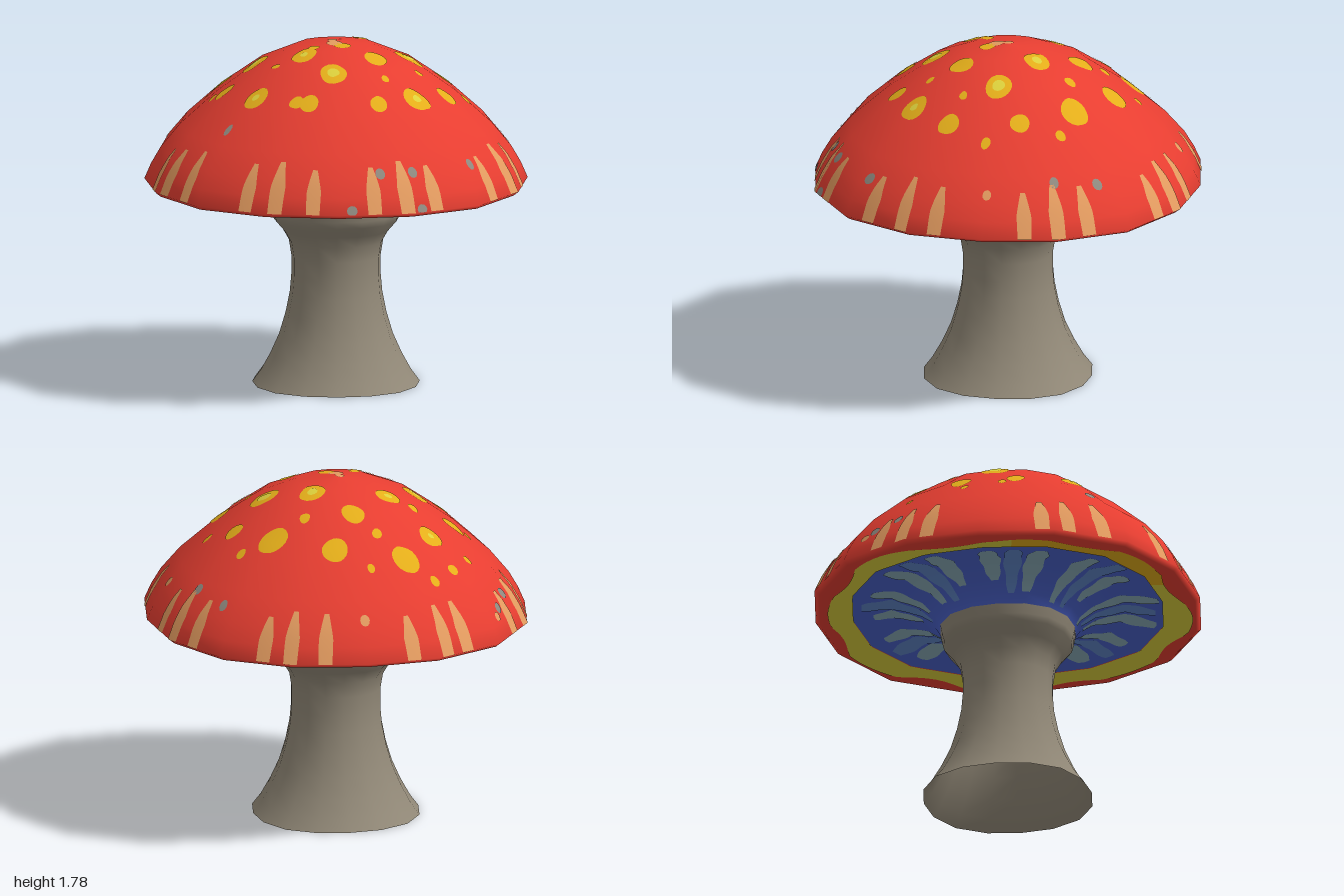
import * as THREE from 'three';
import { mergeGeometries } from 'three/addons/utils/BufferGeometryUtils.js';

const SIDES = 16;
const STEP = (Math.PI * 2) / SIDES;
const DEG = Math.PI / 180;
const NARROW = 0.985; // width against depth

// Profiles as [radius, height]
const STEM = [[0.435, 0], [0.39, 0.06], [0.34, 0.15], [0.295, 0.25], [0.262, 0.36], [0.24, 0.47], [0.232, 0.56],
  [0.232, 0.66], [0.245, 0.74], [0.28, 0.8], [0.328, 0.855], [0.338, 0.89], [0.348, 0.94]];
const GILLS = [[0.348, 0.94], [0.375, 0.985], [0.45, 1.04], [0.6, 1.085], [0.8, 1.055]];
const LIP = [[0.8, 1.055], [0.92, 1.033], [0.97, 1.04]];
const DOME = [[0.995, 1.06], [0.96, 1.14], [0.91, 1.225], [0.81, 1.345], [0.62, 1.515], [0.4, 1.67], [0.2, 1.755], [0, 1.778]];
const UNDER = [...GILLS, ...LIP.slice(1)];

function material(name, color, side = THREE.FrontSide) {
  const m = new THREE.MeshStandardMaterial({ color, side });
  m.name = name;
  return m;
}

// Piecewise linear lookup of column b from column a
function lookup(profile, value, a, b) {
  const pts = [...profile].sort((p, q) => p[a] - q[a]);
  let i = 0;
  while (i < pts.length - 2 && value > pts[i + 1][a]) i++;
  const t = THREE.MathUtils.clamp((value - pts[i][a]) / (pts[i + 1][a] - pts[i][a]), 0, 1);
  return pts[i][b] + t * (pts[i + 1][b] - pts[i][b]);
}

// The plan is a slightly squared circle, widest on the diagonals
const squared = angle => 1 + 0.046 * Math.sin(2 * angle) ** 2;

// Radius of the flat-sided plan at any angle
function reach(angle) {
  const i = Math.floor(angle / STEP), t = angle - i * STEP;
  const lo = squared(i * STEP), hi = squared((i + 1) * STEP);
  return (lo * hi * Math.sin(STEP)) / (lo * Math.sin(t) + hi * Math.sin(STEP - t));
}

// Turned part with the squared plan
function turned(points) {
  const g = new THREE.LatheGeometry(points.map(p => new THREE.Vector2(...p)), SIDES);
  const p = g.attributes.position;
  for (let i = 0; i < p.count; i++) {
    const s = squared(Math.atan2(p.getX(i), p.getZ(i)));
    p.setX(i, p.getX(i) * s * NARROW);
    p.setZ(i, p.getZ(i) * s);
  }
  return g;
}

// Thin painted patch hugging a profile; fn(u, v) returns [angle, radius]
function patch(profile, up, nu, nv, fn, lift = 0.0035) {
  const pos = [], nor = [], index = [];
  for (let j = 0; j <= nv; j++) {
    for (let i = 0; i <= nu; i++) {
      const [a, r] = fn(i / nu, j / nv);
      const lo = Math.max(profile === DOME ? 0 : 0.348, r - 0.06), hi = Math.min(0.995, r + 0.06);
      const slope = (lookup(profile, hi, 0, 1) - lookup(profile, lo, 0, 1)) / (hi - lo);
      const n = new THREE.Vector3(-slope * Math.sin(a), 1, -slope * Math.cos(a)).normalize().multiplyScalar(up);
      const d = r * reach(a);
      const p = new THREE.Vector3(d * Math.sin(a) * NARROW, lookup(profile, r, 0, 1), d * Math.cos(a));
      pos.push(p.addScaledVector(n, lift));
      nor.push(n);
    }
  }
  // Turn every triangle to face along its normal
  const tri = (a, b, c) => {
    const f = pos[b].clone().sub(pos[a]).cross(pos[c].clone().sub(pos[a]));
    if (f.dot(nor[a]) < 0) index.push(a, c, b);
    else index.push(a, b, c);
  };
  const w = nu + 1;
  for (let j = 0; j < nv; j++) {
    for (let i = 0; i < nu; i++) {
      const k = j * w + i;
      tri(k, k + 1, k + w + 1);
      tri(k, k + w + 1, k + w);
    }
  }
  const g = new THREE.BufferGeometry();
  g.setAttribute('position', new THREE.Float32BufferAttribute(pos.flatMap(p => p.toArray()), 3));
  g.setAttribute('normal', new THREE.Float32BufferAttribute(nor.flatMap(n => n.toArray()), 3));
  g.setIndex(index);
  return g;
}

// Slightly uneven round spot placed by x and z on the dome
function spot(x, z, size, lift) {
  return patch(DOME, 1, 20, 4, (u, v) => {
    const t = u * Math.PI * 2;
    const s = size * v * (1 + 0.05 * Math.sin(2 * t + x * 20) + 0.03 * Math.sin(3 * t + z * 20));
    const px = (x + s * Math.cos(t)) / NARROW, pz = z + s * Math.sin(t);
    const a = Math.atan2(px, pz);
    return [a, Math.hypot(px, pz) / reach(a)];
  }, lift);
}

// Small dot placed by angle and height on the dome
function dot(angle, y, size) {
  return patch(DOME, 1, 12, 2, (u, v) => {
    const t = u * Math.PI * 2;
    return [angle * DEG + 1.15 * size * v * Math.cos(t), lookup(DOME, y + size * v * Math.sin(t), 1, 0)];
  });
}

// Tapering stripe rising from the rim
function stripe(angle, top, width) {
  return patch(DOME, 1, 6, 16, (u, v) => {
    const half = 0.5 * width * (v < 0.5 ? 0.9 + 0.2 * v : 1 - 0.65 * ((v - 0.5) / 0.5) ** 1.3);
    return [angle * DEG + (u - 0.5) * 2 * half, lookup(DOME, 1.06 + (top - 1.06) * v, 1, 0)];
  });
}

const SPOTS = [
  [-0.26, -0.6, 0.067], [-0.4, -0.66, 0.025], [-0.07, -0.66, 0.02], [0.1, -0.56, 0.064], [-0.51, -0.56, 0.025],
  [-0.42, -0.41, 0.061], [-0.61, -0.41, 0.02], [-0.13, -0.48, 0.026], [-0.025, -0.37, 0.06], [0.395, -0.4, 0.073],
  [0.22, -0.35, 0.028], [0.55, -0.35, 0.025], [-0.235, -0.2, 0.06], [-0.36, -0.23, 0.026], [0.15, -0.17, 0.067],
  [-0.58, -0.15, 0.053], [0.55, -0.14, 0.048], [-0.66, -0.12, 0.02], [-0.41, 0, 0.068], [0.37, -0.005, 0.07],
  [0.66, 0.02, 0.025], [0.03, 0.1, 0.043], [-0.57, 0.13, 0.048], [-0.63, 0.07, 0.021], [-0.165, 0.19, 0.064],
  [-0.115, 0.12, 0.03], [0.2, 0.21, 0.06], [0.42, 0.17, 0.021], [0.56, 0.225, 0.052], [-0.31, 0.215, 0.022],
  [-0.02, 0.375, 0.069], [0.245, 0.365, 0.02], [-0.415, 0.405, 0.063], [0.405, 0.425, 0.067], [-0.145, 0.545, 0.048],
  [0.21, 0.54, 0.045], [-0.21, 0.53, 0.036],
];
const CENTRES = [[-0.41, 0, 0.032], [0.37, -0.005, 0.034], [-0.02, 0.375, 0.032], [0.405, 0.425, 0.021],
  [-0.415, 0.405, 0.02], [0.15, -0.17, 0.026], [-0.235, -0.2, 0.02], [-0.42, -0.41, 0.016], [-0.165, 0.19, 0.019]];
const DOTS = [[14, 1.25], [25, 1.25], [4, 1.08], [25.5, 1.075], [48, 1.25], [114, 1.31], [129, 1.28], [-48, 1.41],
  [-119, 1.24], [-127, 1.2]];
// Rim stripes by angle: front, left, back, right
const STRIPES = [-29, -19.5, -8, 11, 21, 30.5, 53, 65, 75.5, 103, 113, 122.5,
  148, 156.5, 167, 194.5, 205.5, 213, 237, 246, 254, 289, 297, 308];

export function createModel() {
  const group = new THREE.Group();
  group.name = 'mushroom';
  const red = material('capRed', 0xe83e31);
  const yellow = material('spotYellow', 0xe4ae1a);
  const lime = material('paleYellow', 0xdcd03c);
  const tan = material('stripeTan', 0xe49c60);
  const grey = material('dotGrey', 0x8f8a80);
  const stone = material('stemGrey', 0x918877, THREE.DoubleSide);
  const blue = material('gillBlue', 0x4a62cc, THREE.DoubleSide);
  const teal = material('gillTeal', 0x8aacb8);
  const slate = material('gillSlate', 0x5f86c8);

  const add = (name, geometry, mat) => {
    const mesh = new THREE.Mesh(geometry, mat);
    mesh.name = name;
    group.add(mesh);
  };

  add('stem', turned(STEM), stone);
  add('gills', turned(GILLS), blue);
  add('cap', turned([...LIP, ...DOME]), red);

  // Dome markings
  add('spots', mergeGeometries(SPOTS.map(s => spot(...s))), yellow);
  add('spotCentres', mergeGeometries(CENTRES.map(s => spot(...s, 0.006))), lime);
  add('rimStripes', mergeGeometries([
    spot(-0.01, 0.06, 0.04), spot(-0.02, 0, 0.025), dot(91, 1.26, 0.022), dot(180, 1.26, 0.025), dot(230, 1.17, 0.022),
    ...STRIPES.map((a, i) => stripe(a, 1.285 + 0.02 * Math.sin(i * 2), 0.08)),
  ]), tan);
  add('rimDots', mergeGeometries(DOTS.map(([a, y]) => dot(a, y, 0.025))), grey);

  // Ragged ring between lip and gills, in two tones
  const ring = (from, to) => patch(UNDER, -1, 96, 6, (u, v) => {
    const a = (from + (to - from) * u) * DEG;
    const outer = 0.915 + 0.028 * Math.sin(8 * a) + 0.015 * Math.sin(5 * a);
    return [a, 0.8 + v * (outer - 0.8)];
  });
  add('underRing', ring(-15, 280), lime);
  add('underRingDark', ring(-80, -15), yellow);

  // Broad uneven gill streaks
  let seed = 7;
  const rand = () => (seed = (seed * 16807) % 2147483647) / 2147483647;
  const tealStreaks = [], slateStreaks = [];
  const count = 32;
  for (let i = 0; i < count; i++) {
    const middle = (i / count) * Math.PI * 2;
    const inner = 0.355 + rand() * 0.09, outer = 0.69 + rand() * 0.1, width = 0.14 + rand() * 0.05;
    if (i % 4 === 3) continue;
    (i % 4 === 1 ? slateStreaks : tealStreaks).push(patch(GILLS, -1, 6, 20, (u, v) => {
      const w = width * Math.sin(Math.PI * (0.06 + 0.88 * v)) ** 0.4 * (1 + 0.1 * Math.sin(v * 17 + i));
      return [middle + (u - 0.5) * w, inner + (outer - inner) * v];
    }));
  }
  add('tealStreaks', mergeGeometries(tealStreaks), teal);
  add('slateStreaks', mergeGeometries(slateStreaks), slate);

  return group;
}
